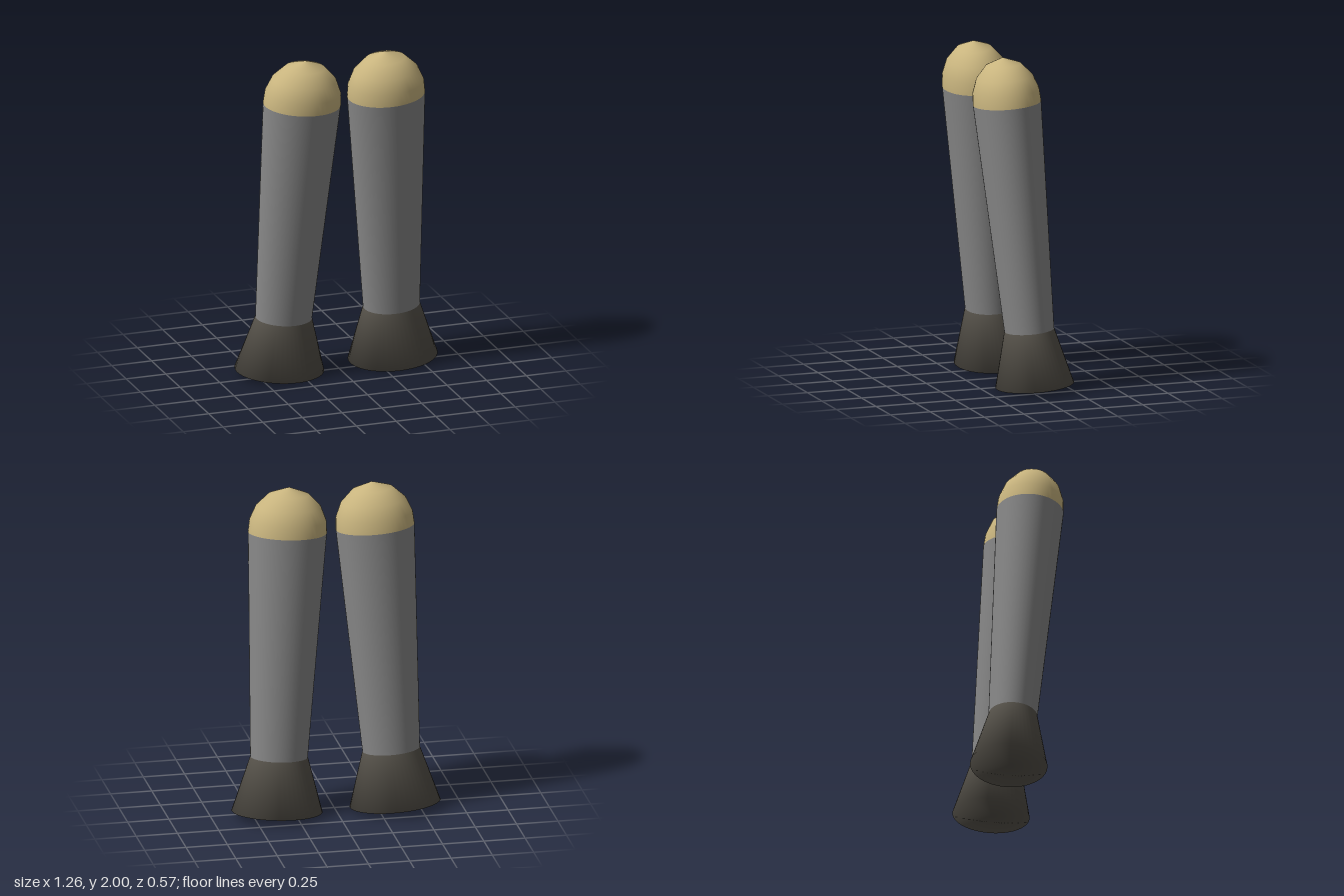
import * as THREE from 'three';

const SEGMENTS = 48;
const WIDTH_RATIO = 1.185; // oval cross-section, wider in x than in z

// Smooth oval part turned from [radius, height] points, bottom to top
function turned(name, color, profile) {
  const geometry = new THREE.LatheGeometry(
    profile.map(([r, y]) => new THREE.Vector2(r, y)), SEGMENTS);
  geometry.scale(WIDTH_RATIO, 1, 1);
  const mesh = new THREE.Mesh(geometry, new THREE.MeshStandardMaterial({ color }));
  mesh.name = name;
  return mesh;
}

function createBooster(side) {
  const booster = new THREE.Group();
  booster.name = side > 0 ? 'leftBooster' : 'rightBooster';

  // Flared nozzle with a closed base
  booster.add(turned('nozzle', 0x56524a, [[0, 0], [0.229, 0], [0.145, 0.334]]));
  // Tapered tube
  booster.add(turned('body', 0x888888, [[0.145, 0.334], [0.199, 1.71]]));
  // Domed cap ending in a slight point
  booster.add(turned('noseCap', 0xc8b47e, [
    [0.199, 1.71], [0.194, 1.785], [0.165, 1.868], [0.103, 1.942], [0, 1.985],
  ]));

  // Lean inward and forward towards the top
  const axis = new THREE.Vector3(-0.054 * side, 1, 0.0825).normalize();
  booster.quaternion.setFromUnitVectors(new THREE.Vector3(0, 1, 0), axis);
  booster.position.set(0.357 * side, 0.025, -0.053);
  return booster;
}

export function createModel() {
  const model = new THREE.Group();
  model.name = 'boosterPair';
  for (const side of [-1, 1]) model.add(createBooster(side));
  return model;
}
